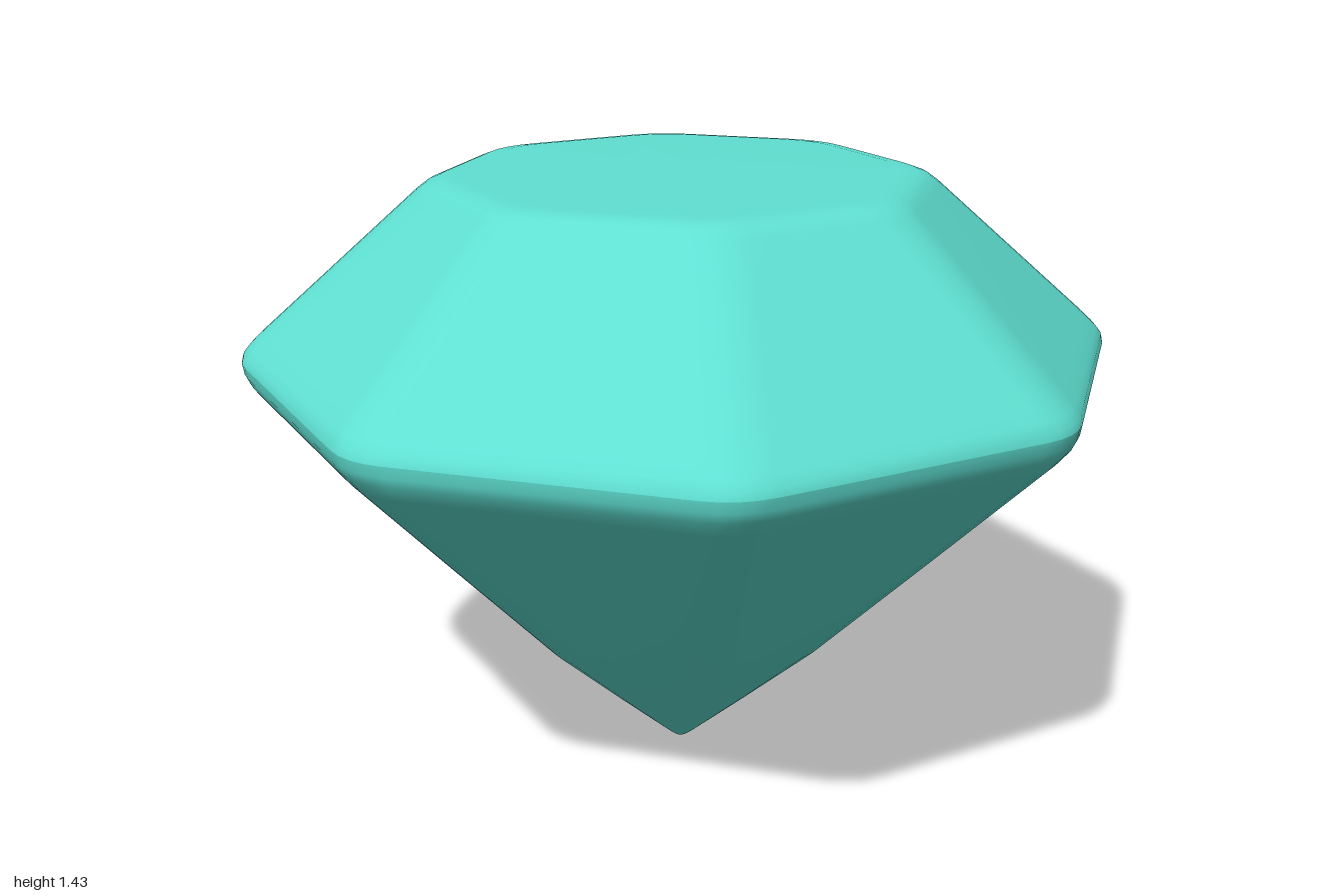
import * as THREE from 'three';
import { mergeVertices } from 'three/addons/utils/BufferGeometryUtils.js';

const SIDES = 8, ROUND = 4; // octagon, segments per rounded corner

// Octagon ring with softly rounded corners; r is the reach of a corner
function ring(r, y) {
  const cut = 0.08 * Math.min(1, r * 2.5);
  const sharp = r + cut * Math.sin(Math.PI / SIDES) / 2;
  const corner = i => new THREE.Vector2().setFromPolar
    ? new THREE.Vector2().setFromPolar(sharp, i)
    : new THREE.Vector2(Math.cos(i * Math.PI * 2 / SIDES), Math.sin(i * Math.PI * 2 / SIDES)).multiplyScalar(sharp);
  const points = [];
  for (let i = 0; i < SIDES; i++) {
    const c = corner(i);
    const toward = n => corner(n).sub(c).setLength(cut).add(c);
    const bend = new THREE.QuadraticBezierCurve(toward(i - 1), c, toward(i + 1));
    for (const p of bend.getPoints(ROUND)) points.push(new THREE.Vector3(p.x, y, -p.y));
  }
  return points;
}

// Skin a profile of [corner radius, height] pairs, listed from bottom to top
function facetedLoft(profile) {
  const rings = profile.map(([r, y]) => ring(r, y));
  const n = rings[0].length;
  const positions = [], index = [];
  rings.forEach(points => points.forEach(p => positions.push(p.x, p.y, p.z)));
  for (let k = 0; k < rings.length - 1; k++) {
    for (let j = 0; j < n; j++) {
      const a = k * n + j, b = k * n + (j + 1) % n;
      if (profile[k][0] > 0) index.push(a, b, b + n);
      if (profile[k + 1][0] > 0) index.push(a, b + n, a + n);
    }
  }
  const geometry = new THREE.BufferGeometry();
  geometry.setAttribute('position', new THREE.Float32BufferAttribute(positions, 3));
  geometry.setIndex(index);
  const welded = mergeVertices(geometry, 1e-5);
  welded.computeVertexNormals();
  return welded;
}

export function createModel() {
  const group = new THREE.Group();
  group.name = 'gem';
  const material = new THREE.MeshStandardMaterial({ color: 0x5fe0d2 });
  const add = (name, profile) => {
    const mesh = new THREE.Mesh(facetedLoft(profile), material);
    mesh.name = name;
    group.add(mesh);
  };

  // Pointed lower half, faintly bulging, with a softened tip
  add('pavilion', [
    [0, 0], [0.015, 0.006], [0.035, 0.022], [0.2, 0.172], [0.395, 0.352],
    [0.68, 0.648], [0.955, 0.935], [0.985, 0.972], [0.996, 0.995], [1, 1.02],
  ]);

  // Sloping upper half and flat table, with rounded rims
  add('crown', [
    [1, 1.02], [0.995, 1.037], [0.98, 1.055], [0.95, 1.083],
    [0.59, 1.398], [0.565, 1.416], [0.54, 1.425], [0.5, 1.43], [0, 1.43],
  ]);
  return group;
}
